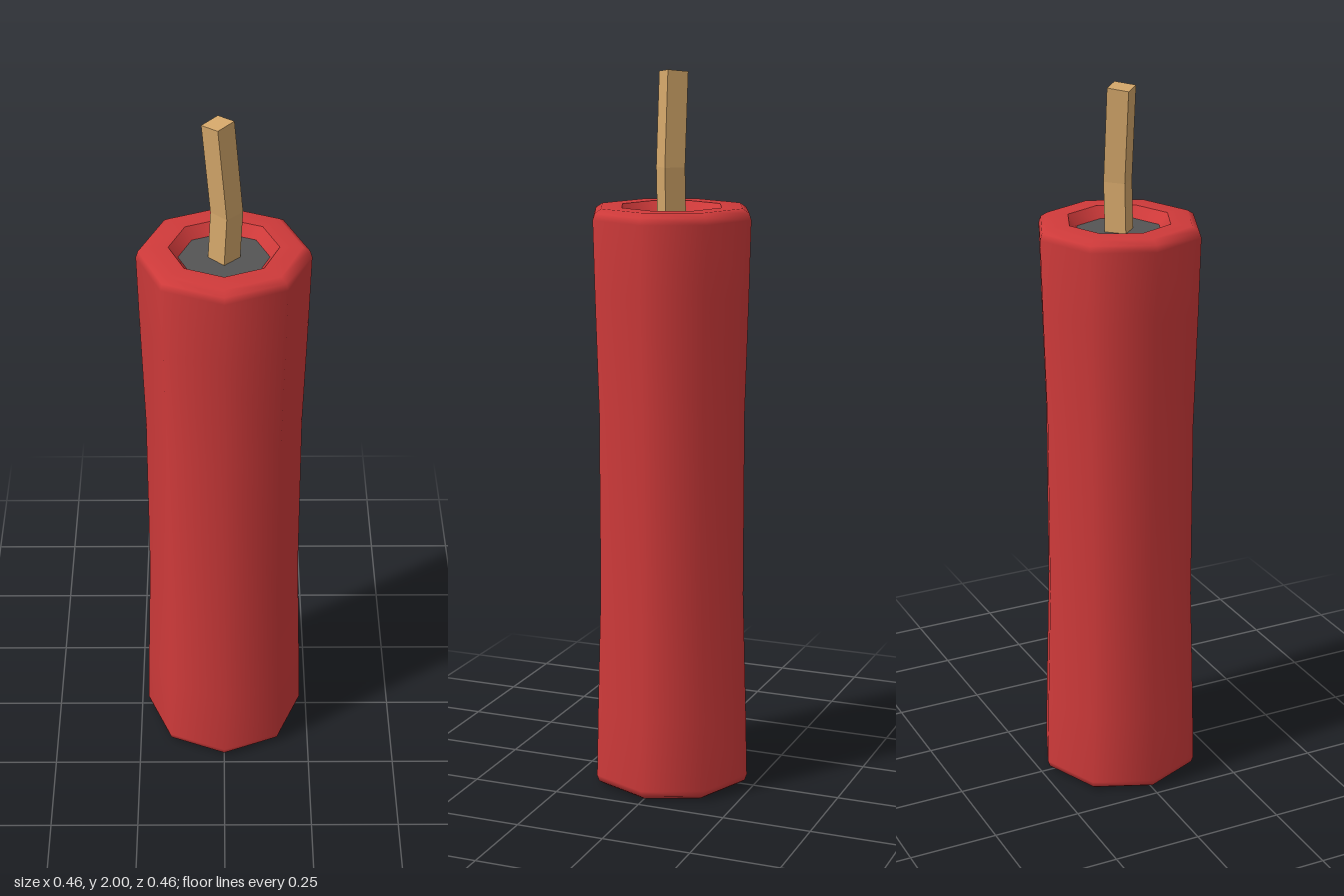
import * as THREE from 'three';

const H = 1.635; // height of the tube without the fuse

export function createModel() {
  const model = new THREE.Group();
  const red = new THREE.MeshStandardMaterial({ name: 'red paper', color: 0xcf3a3a });
  const grey = new THREE.MeshStandardMaterial({ name: 'grey powder', color: 0x555555 });
  const tan = new THREE.MeshStandardMaterial({ name: 'tan cord', color: 0xd4a76a });

  const add = (name, geometry, material) => {
    const mesh = new THREE.Mesh(geometry, material);
    mesh.name = name;
    model.add(mesh);
    return mesh;
  };
  const lathe = (points) =>
    new THREE.LatheGeometry(points.map(([r, y]) => new THREE.Vector2(r, y)), 8);

  // Waisted eight-sided tube with bevelled rims, mirrored about mid height
  const half = [[0.145, 0], [0.205, 0], [0.224, 0.012], [0.23, 0.03], [0.225, 0.23], [0.215, 0.56]];
  const upper = half.map(([r, y]) => [r, H - y]).reverse();
  add('tube', lathe([...half, ...upper]), red);

  // Tapered recess and powder plug at both ends
  const depth = 0.03;
  add('topRecess', lathe([[0.145, H], [0.12, H - depth]]), red);
  add('bottomRecess', lathe([[0.12, depth], [0.145, 0]]), red);
  add('topPlug', new THREE.CircleGeometry(0.12, 8).rotateX(-Math.PI / 2).translate(0, H - depth, 0), grey);
  add('bottomPlug', new THREE.CircleGeometry(0.12, 8).rotateX(Math.PI / 2).translate(0, depth, 0), grey);

  // Bent square fuse: three tilted rings
  const rings = [[0, 1.6, 0], [0.007, 1.74, 0.02], [-0.0155, 1.994, 0.14]]; // x, y, tilt
  const ring = ([x, y, tilt]) => [0, 1, 2, 3].map((i) => {
    const a = (i * Math.PI) / 2, r = 0.042;
    return [x + r * Math.cos(a) * Math.cos(tilt), y + r * Math.cos(a) * Math.sin(tilt), r * Math.sin(a)];
  });
  const loops = rings.map(ring);
  const pos = [];
  const quad = (a, b, c, d) => pos.push(...a, ...b, ...c, ...a, ...c, ...d);
  for (let k = 0; k < 2; k++) {
    for (let i = 0; i < 4; i++) {
      const j = (i + 1) % 4;
      quad(loops[k][i], loops[k + 1][i], loops[k + 1][j], loops[k][j]);
    }
  }
  const [p, q, r, s] = loops[2];
  quad(p, s, r, q);
  const fuse = new THREE.BufferGeometry();
  fuse.setAttribute('position', new THREE.Float32BufferAttribute(pos, 3));
  fuse.computeVertexNormals();
  add('fuse', fuse, tan);

  return model;
}
